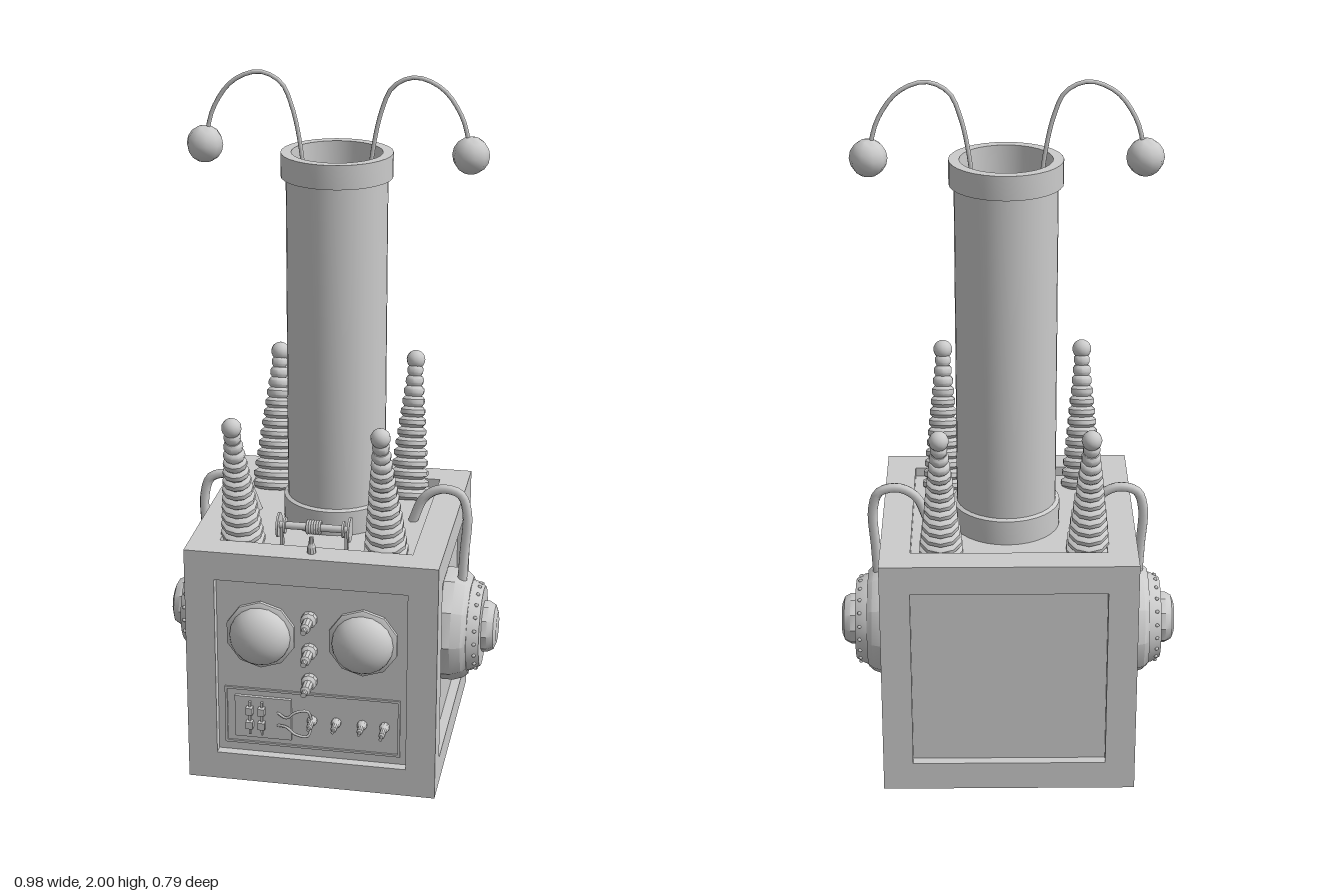
import * as THREE from 'three';
import { toCreasedNormals } from 'three/addons/utils/BufferGeometryUtils.js';

const MAT = new THREE.MeshStandardMaterial({ color: 0xcccccc });
const V = (x, y, z) => new THREE.Vector3(x, y, z);

function add(parent, name, geo, x = 0, y = 0, z = 0) {
  const m = new THREE.Mesh(geo, MAT);
  m.name = name;
  m.position.set(x, y, z);
  parent.add(m);
  return m;
}
const box = (w, h, d) => new THREE.BoxGeometry(w, h, d);
const lathe = (pts, seg, crease = 0.6) =>
  toCreasedNormals(new THREE.LatheGeometry(pts.map(p => new THREE.Vector2(p[0], p[1])), seg), crease);
const tube = (pts, r, seg = 32) =>
  new THREE.TubeGeometry(new THREE.CatmullRomCurve3(pts), seg, r, 8);

// Crate: recessed core with twelve frame bars
function crate() {
  const g = new THREE.Group();
  g.name = 'crate';
  g.position.set(0, 0.36, -0.035);
  const S = 0.72, T = 0.085, R = S / 2 - T / 2, L = S - 2 * T;
  add(g, 'panels', box(S - 0.055, S - 0.055, S - 0.055));
  for (const a of [-1, 1]) for (const b of [-1, 1]) {
    add(g, 'sideBar', box(T, T, S), a * R, b * R, 0);
    add(g, 'crossBar', box(L, T, T), 0, a * R, b * R);
    add(g, 'cornerPost', box(T, L, T), a * R, 0, b * R);
  }
  return g;
}

// Hollow chimney with a collar at each end, and a small bulb inside
function tower() {
  const g = new THREE.Group();
  g.name = 'tower';
  g.position.set(0.005, 0, -0.058);
  add(g, 'chimney', lathe([
    [0.125, 0.69], [0.153, 0.69], [0.153, 0.765], [0.142, 0.77], [0.142, 1.71],
    [0.156, 1.712], [0.156, 1.78], [0.127, 1.78], [0.125, 1.71], [0.125, 0.69],
  ], 32));
  add(g, 'bulbSocket', new THREE.CylinderGeometry(0.018, 0.022, 0.05, 12), 0, 0.715, -0.06);
  add(g, 'bulb', new THREE.SphereGeometry(0.024, 12, 8), 0, 0.755, -0.06);
  add(g, 'bulbPin', box(0.065, 0.008, 0.008), 0, 0.735, -0.06);
  return g;
}

// Bent wire antenna with a ball at its end
function antenna(s) {
  const g = new THREE.Group();
  g.name = s > 0 ? 'leftAntenna' : 'rightAntenna';
  const path = [[0.37, 1.8], [0.345, 1.89], [0.29, 1.965], [0.215, 1.993], [0.155, 1.965], [0.125, 1.9],
    [0.1, 1.78], [0.085, 1.6], [0.05, 1.0], [0.038, 0.72]];
  add(g, 'wire', tube(path.map(([x, y]) => V(0.003 + s * x, y, -0.062)), 0.006, 64));
  add(g, 'ball', toCreasedNormals(new THREE.SphereGeometry(0.052, 10, 8), 0.9), 0.003 + s * 0.372, 1.785, -0.062);
  const foot = add(g, 'foot', new THREE.CylinderGeometry(0.017, 0.017, 0.05, 10), 0.003 + s * 0.062, 0.715, -0.038);
  foot.rotation.y = s * 0.5;
  return g;
}

// Ribbed tapering insulator leaning outwards
function insulator(x, side) {
  const g = new THREE.Group();
  g.name = 'insulator';
  g.position.set(x, 0.685, side > 0 ? 0.172 : -0.232);
  g.rotation.x = side * 0.3;
  const n = 13, h = 0.4 / n, pts = [[0, 0]];
  for (let i = 0; i < n; i++) {
    const r = 0.064 - 0.04 * i / (n - 1), y = i * h;
    pts.push([r * 0.78, y], [r, y + h * 0.3], [r, y + h * 0.72], [r * 0.78, y + h * 0.98]);
  }
  pts.push([0, 0.4]);
  add(g, 'ribs', lathe(pts, 10, 0.7));
  add(g, 'tip', new THREE.SphereGeometry(0.028, 12, 10), 0, 0.417, 0);
  return g;
}

// Stepped riveted dome on a side wall, with a pipe arching over the crate top
function sideDome(s) {
  const g = new THREE.Group();
  g.name = s > 0 ? 'leftDome' : 'rightDome';
  const d = new THREE.Group();
  d.name = 'dome';
  d.position.set(s * 0.33, 0.37, -0.056);
  d.rotation.z = -s * Math.PI / 2;
  add(d, 'basePlate', lathe([[0.168, 0], [0.168, 0.035], [0.158, 0.065], [0.145, 0.08], [0, 0.08]], 10));
  add(d, 'drum', lathe([[0.137, 0.07], [0.132, 0.09], [0.118, 0.115], [0, 0.118]], 28));
  add(d, 'cap', lathe([[0.076, 0.11], [0.076, 0.132], [0.066, 0.15], [0.045, 0.158], [0, 0.158]], 10));
  for (let i = 0; i < 20; i++) {
    const a = i / 20 * Math.PI * 2;
    add(d, 'rivet', new THREE.SphereGeometry(0.006, 6, 5), Math.cos(a) * 0.126, 0.102, Math.sin(a) * 0.126);
  }
  g.add(d);
  add(g, 'pipe', tube([
    V(s * 0.38, 0.49, -0.042), V(s * 0.385, 0.6, -0.046), V(s * 0.39, 0.73, -0.052), V(s * 0.37, 0.785, -0.055),
    V(s * 0.315, 0.798, -0.056), V(s * 0.265, 0.77, -0.056), V(s * 0.23, 0.69, -0.056),
  ], 0.014));
  return g;
}

// Knob pointing forwards, of given reach from the front panel
function knob(parent, name, x, y, r, reach) {
  const k = add(parent, name, lathe([
    [r, 0], [r, reach * 0.25], [r * 0.65, reach * 0.35], [r * 0.65, reach * 0.75],
    [r * 0.35, reach * 0.8], [r * 0.35, reach], [0, reach],
  ], 10), x, y, 0.29);
  k.rotation.x = Math.PI / 2;
}

// Front face: two round eyes, centre knobs and a control board
function face() {
  const g = new THREE.Group();
  g.name = 'face';
  for (const s of [-1, 1]) {
    const eye = add(g, 'eyeRim', lathe([[0.102, 0], [0.102, 0.018], [0.09, 0.024], [0, 0.024]], 10), s * 0.147, 0.465, 0.29);
    eye.rotation.x = Math.PI / 2;
    const lens = add(g, 'eyeLens', new THREE.SphereGeometry(0.088, 20, 8, 0, Math.PI * 2, 0, Math.PI / 2), s * 0.147, 0.465, 0.31);
    lens.rotation.x = Math.PI / 2;
    lens.scale.y = 0.74;
  }
  for (const y of [0.525, 0.425, 0.33]) knob(g, 'centreKnob', -0.007, y, 0.023, 0.1);

  // Control board with a raised rim
  const rim = new THREE.Shape([[-0.255, 0.11], [0.255, 0.11], [0.255, 0.29], [-0.255, 0.29]].map(p => new THREE.Vector2(...p)));
  rim.holes.push(new THREE.Path([[-0.248, 0.117], [-0.248, 0.283], [0.248, 0.283], [0.248, 0.117]].map(p => new THREE.Vector2(...p))));
  add(g, 'boardRim', new THREE.ExtrudeGeometry(rim, { depth: 0.013, bevelEnabled: false }), 0, 0, 0.29);
  add(g, 'switchPlate', box(0.165, 0.13, 0.012), -0.1425, 0.2, 0.301);
  for (const x of [-0.18, -0.145]) {
    add(g, 'switchRail', box(0.006, 0.105, 0.012), x, 0.2, 0.309);
    for (const y of [0.225, 0.18]) add(g, 'switch', box(0.02, 0.022, 0.02), x, y, 0.315);
  }
  for (const s of [-1, 1]) {
    add(g, 'lead', tube([
      V(-0.1, 0.2 + s * 0.02, 0.305), V(-0.07, 0.2 + s * 0.015, 0.322), V(-0.045, 0.2 + s * 0.035, 0.322),
      V(-0.01, 0.2 + s * 0.04, 0.318), V(0, 0.2 + s * 0.01, 0.31),
    ], 0.004, 20));
  }
  [0, 0.07, 0.145, 0.21].forEach((x, i) => knob(g, 'boardKnob', x, 0.203, 0.014, i === 3 ? 0.085 : 0.07));
  return g;
}

// Coil on an axle with double end flanges, standing on the crate top
function coil() {
  const g = new THREE.Group();
  g.name = 'coil';
  g.position.set(-0.015, 0.755, 0.183);
  const along = (name, r, len, x) => {
    add(g, name, new THREE.CylinderGeometry(r, r, len, 14), x, 0, 0).rotation.z = Math.PI / 2;
  };
  along('axle', 0.011, 0.21, 0);
  for (const s of [-1, 1]) {
    along('outerFlange', 0.036, 0.006, s * 0.102);
    along('innerFlange', 0.024, 0.006, s * 0.084);
    add(g, 'stand', box(0.008, 0.06, 0.02), s * 0.093, -0.035, 0);
  }
  for (let i = 0; i < 6; i++) {
    add(g, 'winding', new THREE.TorusGeometry(0.018, 0.0038, 6, 14), -0.018 + i * 0.007, 0, 0).rotation.y = Math.PI / 2;
  }
  return g;
}

export function createModel() {
  const model = new THREE.Group();
  model.name = 'robotMachine';
  model.add(crate(), tower(), face(), coil());
  for (const s of [-1, 1]) {
    model.add(antenna(s), sideDome(s), insulator(-0.223, s), insulator(0.19, s));
  }
  // Small lever on the front top bar
  add(model, 'topLever', lathe([[0.013, 0], [0.012, 0.02], [0.008, 0.03], [0.006, 0.05], [0, 0.052]], 10), -0.005, 0.718, 0.277);
  return model;
}
